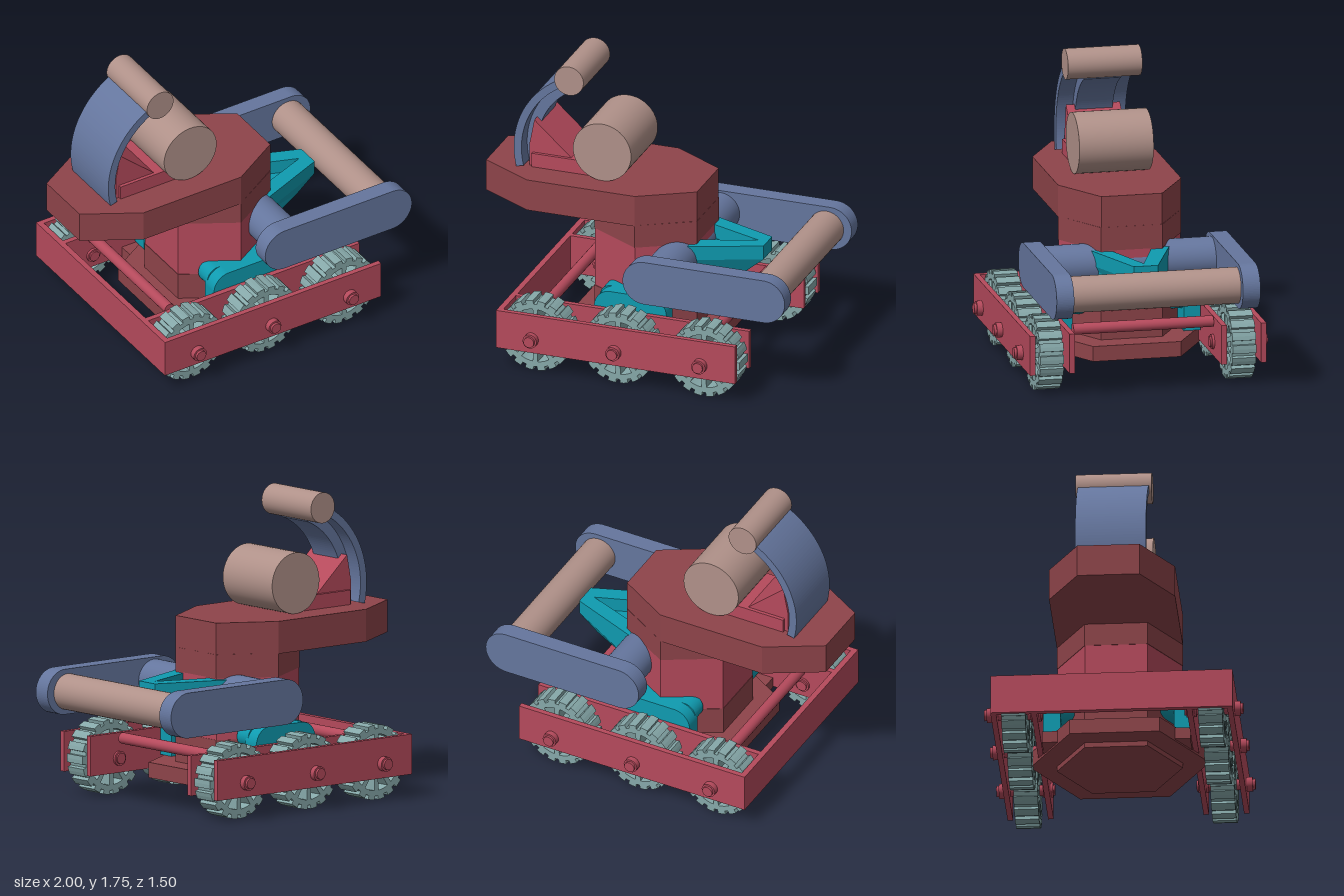
import * as THREE from 'three';

const mat = (color) => new THREE.MeshStandardMaterial({ color, side: THREE.DoubleSide });
const RED = mat(0xb54a5c), MAROON = mat(0x8e444a), BLUE = mat(0x65769e);
const TEAL = mat(0x0f9bb0), TAN = mat(0xb09189), STEEL = mat(0x86a8a9);

export function createModel() {
  const model = new THREE.Group();

  const add = (name, geometry, material, x = 0, y = 0, z = 0) => {
    const mesh = new THREE.Mesh(geometry, material);
    mesh.name = name;
    mesh.position.set(x, y, z);
    model.add(mesh);
    return mesh;
  };
  const box = (name, m, x0, x1, y0, y1, z0, z1) =>
    add(name, new THREE.BoxGeometry(x1 - x0, y1 - y0, z1 - z0), m, (x0 + x1) / 2, (y0 + y1) / 2, (z0 + z1) / 2);
  // Cylinder lying along z
  const rod = (name, m, x, y, r, z0, z1, sides = 40) =>
    add(name, new THREE.CylinderGeometry(r, r, z1 - z0, sides).rotateX(Math.PI / 2), m, x, y, (z0 + z1) / 2);
  const polygon = (pts) => new THREE.Shape(pts.map(([x, y]) => new THREE.Vector2(x, y)));
  const extrude = (shape, depth) =>
    new THREE.ExtrudeGeometry(shape, { depth, bevelEnabled: false, curveSegments: 20 });
  // Side profile pushed along z
  const slab = (name, m, shape, z0, z1) => add(name, extrude(shape, z1 - z0), m, 0, 0, z0);
  // Plan outline raised along y
  const raise = (name, m, shape, y0, y1) => add(name, extrude(shape, y1 - y0).rotateX(-Math.PI / 2), m, 0, y0, 0);
  const hexagon = (cx, r) => polygon([...Array(6)].map((_, i) => {
    const a = Math.PI / 6 + i * Math.PI / 3;
    return [cx + r * Math.cos(a), r * Math.sin(a)];
  }));
  const stadium = (x0, x1, y0, y1) => {
    const r = (y1 - y0) / 2, s = new THREE.Shape();
    s.absarc(x1 - r, y0 + r, r, -Math.PI / 2, Math.PI / 2, false);
    s.absarc(x0 + r, y0 + r, r, Math.PI / 2, Math.PI * 1.5, false);
    return s;
  };
  const arcBand = (r0, r1, a0, a1) => {
    const s = new THREE.Shape();
    s.absarc(-0.298, 1.19, r1, a0, a1, false);
    s.absarc(-0.298, 1.19, r0, a1, a0, true);
    return s;
  };

  // Chassis: two pairs of rails joined by a rear plate
  for (const s of [-1, 1]) {
    for (const z of [0.685, 0.45]) box('sideRail', RED, -0.74, 0.73, 0.135, 0.37, s * z - 0.016, s * z + 0.016);
    box('hipBlock', MAROON, -0.33, -0.02, 0.13, 0.2, s * 0.385 - 0.045, s * 0.385 + 0.045);
  }
  box('rearPlate', RED, -0.745, -0.71, 0.135, 0.37, -0.7, 0.7);
  for (const x of [-0.525, 0.515]) rod('crossBar', RED, x, 0.342, 0.033, -0.43, 0.4, 20);

  // Toothed, spoked wheel outline
  const teeth = 18, spokes = 10, outline = [];
  for (let i = 0; i < teeth; i++) {
    const step = Math.PI * 2 / teeth;
    for (const [f, r] of [[-0.32, 0.22], [0, 0.22], [0.32, 0.22], [0.34, 0.197], [0.66, 0.197]]) {
      const a = (i + f) * step;
      outline.push([r * Math.cos(a), r * Math.sin(a)]);
    }
  }
  const wheelShape = polygon(outline);
  for (let i = 0; i < spokes; i++) {
    const a = i * Math.PI * 2 / spokes, hole = new THREE.Path();
    hole.absarc(0, 0, 0.165, a - 0.22, a + 0.22, false);
    hole.absarc(0, 0, 0.085, a + 0.16, a - 0.16, true);
    hole.closePath();
    wheelShape.holes.push(hole);
  }
  const wheelGeometry = extrude(wheelShape, 0.14).translate(0, 0, -0.07);

  // Wheels, axles and bolt heads on both sides
  for (const s of [-1, 1]) {
    for (const x of [-0.525, -0.015, 0.515]) {
      add('wheel', wheelGeometry, STEEL, x, 0.22, s * 0.57);
      const span = (name, r, a, b) => rod(name, RED, x, 0.22, r, Math.min(s * a, s * b), Math.max(s * a, s * b), 20);
      span('axle', 0.032, 0.41, 0.75);
      span('boltCollar', 0.043, 0.69, 0.735);
      span('innerCollar', 0.043, 0.42, 0.48);
    }
  }

  // Hexagonal base and column
  raise('basePlate', MAROON, hexagon(-0.012, 0.52), 0.12, 0.21);
  raise('baseCollar', MAROON, hexagon(-0.015, 0.365), 0.09, 0.38);
  raise('column', RED, hexagon(-0.015, 0.362), 0.38, 0.74);
  raise('neck', MAROON, hexagon(-0.015, 0.365), 0.74, 0.88);

  // Long eight-sided upper deck
  raise('upperDeck', MAROON, polygon([
    [-1, -0.18], [-0.68, -0.365], [-0.015, -0.365], [0.3, -0.18],
    [0.3, 0.18], [-0.015, 0.365], [-0.68, 0.365], [-1, 0.18]]), 0.875, 1.065);

  // Rounded hip covers beside the column
  const cover = new THREE.Shape();
  cover.moveTo(-0.24, 0.21);
  cover.lineTo(0.205, 0.21);
  cover.lineTo(0.205, 0.37);
  cover.absarc(0.105, 0.37, 0.1, 0, Math.PI / 2, false);
  cover.absarc(-0.14, 0.37, 0.1, Math.PI / 2, Math.PI, false);
  const coverTop = stadium(-0.235, 0.2, 0.33, 0.47);
  for (const s of [-1, 1]) {
    slab('hipCover', TEAL, cover, s * 0.38 - 0.05, s * 0.38 + 0.05);
    slab('hipCoverInner', TEAL, coverTop, s * 0.3 - 0.05, s * 0.3 + 0.05);
  }

  // Tapered nose with a triangular recess
  const nosePlan = [[0.2, -0.255], [0.67, -0.072], [0.67, 0.072], [0.2, 0.255]];
  const noseRim = polygon(nosePlan);
  noseRim.holes.push(new THREE.Path([[0.27, -0.125], [0.27, 0.125], [0.61, 0]].map(([x, z]) => new THREE.Vector2(x, z))));
  raise('noseRim', TEAL, noseRim, 0.65, 0.735);
  const keel = raise('noseKeel', TEAL, polygon(nosePlan), 0.55, 0.65);
  const kp = keel.geometry.attributes.position;
  for (let i = 0; i < kp.count; i++) {
    if (kp.getY(i) < 0.05 && kp.getX(i) > 0.5) kp.setX(i, 0.55);
  }
  keel.geometry.computeVertexNormals();

  // Front arms, pivot tube and roller
  const armShape = stadium(0, 1, 0.505, 0.77);
  for (const s of [-1, 1]) slab('frontArm', BLUE, armShape, s * 0.552 - 0.052, s * 0.552 + 0.052);
  rod('armPivot', BLUE, 0.19, 0.638, 0.12, -0.51, 0.51);
  rod('frontRoller', TAN, 0.845, 0.637, 0.106, -0.5, 0.5);

  // Curved back shield with inner rib and headrest roll
  slab('backShield', BLUE, arcBand(0.475, 0.522, 1.95, Math.PI + 0.24), -0.205, 0.205);
  slab('backRib', BLUE, arcBand(0.41, 0.48, 1.95, Math.PI + 0.28), -0.11, 0.11);
  rod('topRoll', TAN, -0.475, 1.662, 0.09, -0.22, 0.22);
  rod('drum', TAN, -0.27, 1.243, 0.179, -0.22, 0.22, 48);

  // Wedge and low block carrying the drum
  slab('backWedge', RED, polygon([[-0.74, 1.06], [-0.46, 1.06], [-0.46, 1.13], [-0.71, 1.355], [-0.74, 1.2]]), -0.16, 0.16);
  box('drumBase', RED, -0.72, -0.25, 1.06, 1.15, -0.18, 0.18);

  return model;
}
